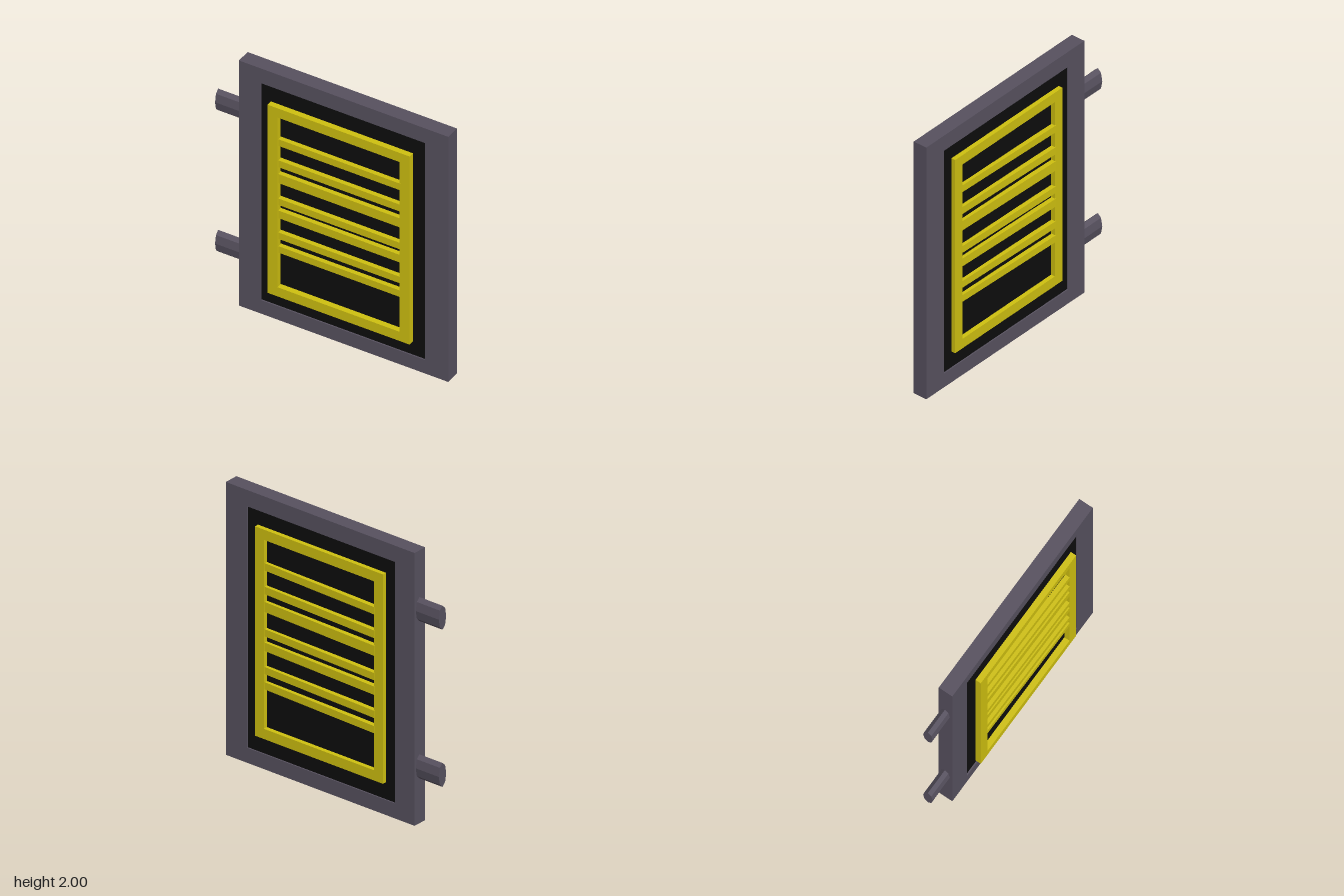
import * as THREE from 'three';

const grey = new THREE.MeshStandardMaterial({ color: 0x57515f, flatShading: true });
const yellow = new THREE.MeshStandardMaterial({ color: 0xcfc010, flatShading: true });
const black = new THREE.MeshStandardMaterial({ color: 0x0d0d0d, flatShading: true });

function add(parent, name, geometry, material, x = 0, y = 0, z = 0) {
  const mesh = new THREE.Mesh(geometry, material);
  mesh.name = name;
  mesh.position.set(x, y, z);
  parent.add(mesh);
  return mesh;
}

function rectPoints(x0, x1, y0, y1) {
  return [[x0, y0], [x1, y0], [x1, y1], [x0, y1]].map(([x, y]) => new THREE.Vector2(x, y));
}

// Rectangular ring extruded along z; outer and inner are [x0, x1, y0, y1]
function ring(outer, inner, depth) {
  const shape = new THREE.Shape(rectPoints(...outer));
  shape.holes.push(new THREE.Path(rectPoints(...inner)));
  return new THREE.ExtrudeGeometry(shape, { depth, bevelEnabled: false });
}

// Slat centre height and slat height
const slats = [
  [1.488, 0.054], [1.315, 0.056], [1.194, 0.074], [1.005, 0.053],
  [0.902, 0.062], [0.728, 0.053], [0.616, 0.053],
];

// Yellow frame with slightly crooked slats, spanning z = 0 to 0.042
function createGrille(name, z) {
  const grille = new THREE.Group();
  grille.name = name;
  grille.position.z = z;
  add(grille, 'grilleFrame', ring([-0.455, 0.63, 0.235, 1.77], [-0.38, 0.555, 0.31, 1.695], 0.042), yellow);
  for (const [y, h] of slats) {
    const slat = add(grille, 'slat', new THREE.BoxGeometry(0.95, h, 0.034), yellow, 0.0875, y, 0.019);
    slat.rotation.set(0, -0.014, 0.012);
  }
  return grille;
}

export function createModel() {
  const model = new THREE.Group();
  model.name = 'slattedDoor';

  // Thick border with a recessed dark panel
  add(model, 'doorBorder', ring([-0.705, 0.895, 0, 2], [-0.54, 0.715, 0.11, 1.88], 0.108), grey, 0, 0, -0.068);
  add(model, 'darkPanel', new THREE.BoxGeometry(1.255, 1.77, 0.088), black, 0.0875, 0.995, -0.014);

  // Matching grilles on both faces
  model.add(createGrille('frontGrille', 0.05), createGrille('backGrille', -0.09));

  // Flattened eight-sided hinge pegs
  for (const y of [1.57, 0.417]) {
    const geometry = new THREE.CylinderGeometry(1, 1, 0.22, 8).rotateZ(Math.PI / 2).scale(1, 0.088, 0.038);
    add(model, 'hingePeg', geometry, grey, -0.79, y, -0.018);
  }
  return model;
}
